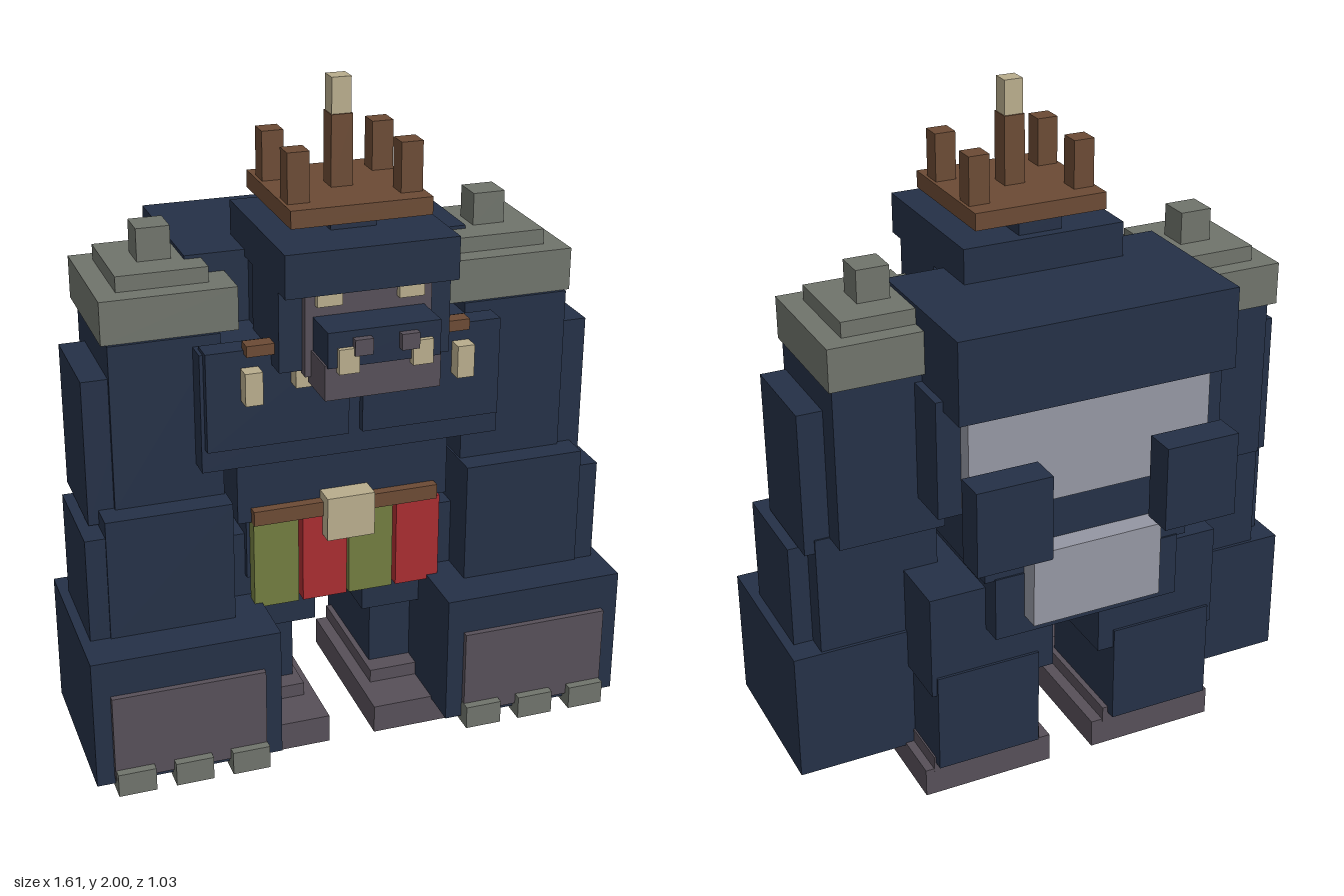
import * as THREE from 'three';

const material = (name, color) => {
  const m = new THREE.MeshStandardMaterial({ color });
  m.name = name;
  return m;
};

export function createModel() {
  const model = new THREE.Group();
  model.name = 'armouredApe';
  const fur = material('navy fur', 0x243046);
  const skin = material('mauve skin', 0x564f58);
  const stone = material('grey stone', 0x6f736b);
  const wood = material('brown wood', 0x6b4a34);
  const bone = material('beige bone', 0xb8ac8c);
  const red = material('red cloth', 0xa82c30);
  const green = material('green cloth', 0x717c40);
  const silver = material('silver back', 0x9496a2);

  // Box given by its limits on each axis
  const box = (name, mat, [x0, x1], [y0, y1], [z0, z1], parent = model) => {
    const mesh = new THREE.Mesh(new THREE.BoxGeometry(x1 - x0, y1 - y0, z1 - z0), mat);
    mesh.position.set((x0 + x1) / 2, (y0 + y1) / 2, (z0 + z1) / 2);
    mesh.name = name;
    parent.add(mesh);
  };
  // The same box on both sides of the body
  const pair = (name, mat, [x0, x1], y, z) => {
    box('left' + name, mat, [x0, x1], y, z);
    box('right' + name, mat, [-x1, -x0], y, z);
  };

  // Torso
  box('chest', fur, [-0.44, 0.44], [0.95, 1.3], [-0.35, 0.245]);
  pair('Pec', fur, [0.02, 0.43], [1.02, 1.31], [0.2, 0.27]);
  box('abdomen', fur, [-0.32, 0.32], [0.735, 0.96], [-0.385, 0.17]);
  box('pelvis', fur, [-0.29, 0.29], [0.545, 0.74], [-0.39, 0.15]);
  box('shoulderHump', fur, [-0.418, 0.418], [1.27, 1.51], [-0.452, 0.03]);
  box('upperBackPatch', silver, [-0.37, 0.37], [0.96, 1.27], [-0.4, -0.345]);
  box('lowerBackPatch', silver, [-0.2, 0.2], [0.6, 0.83], [-0.45, -0.38]);
  pair('BackTuft', fur, [0.175, 0.4], [0.845, 1.1], [-0.515, -0.42]);

  // Head and face
  box('head', fur, [-0.235, 0.235], [1.26, 1.6], [-0.1, 0.34]);
  box('cheekFrame', fur, [-0.245, 0.245], [1.26, 1.5], [0.1, 0.34]);
  box('brow', fur, [-0.245, 0.245], [1.49, 1.612], [-0.11, 0.4]);
  box('headCrest', fur, [-0.065, 0.065], [1.6, 1.66], [-0.08, 0.24]);
  box('face', skin, [-0.18, 0.18], [1.25, 1.49], [0.33, 0.365]);
  box('muzzle', fur, [-0.158, 0.158], [1.32, 1.42], [0.34, 0.49]);
  box('jaw', skin, [-0.163, 0.163], [1.225, 1.325], [0.34, 0.48]);
  pair('Eye', bone, [0.08, 0.152], [1.452, 1.49], [0.36, 0.385]);
  pair('Nostril', skin, [0.04, 0.09], [1.355, 1.4], [0.48, 0.512]);
  pair('Fang', bone, [0.075, 0.132], [1.305, 1.375], [0.47, 0.504]);

  // Tooth necklace
  box('necklaceCord', wood, [-0.323, 0.323], [1.3, 1.332], [0.255, 0.3]);
  for (const [x, y0, y1] of [[-0.308, 1.165, 1.26], [-0.165, 1.2, 1.26], [0, 1.153, 1.25], [0.165, 1.2, 1.26], [0.308, 1.165, 1.26]]) {
    box('necklaceTooth', bone, [x - 0.025, x + 0.025], [y0, y1], [0.272, 0.318]);
  }

  // Crown
  const crown = new THREE.Group();
  crown.name = 'crown';
  model.add(crown);
  box('crownBase', wood, [-0.2, 0.2], [1.65, 1.7], [-0.09, 0.312], crown);
  box('crownCentrePost', wood, [-0.031, 0.031], [1.7, 1.9], [0.08, 0.145], crown);
  box('crownTip', bone, [-0.028, 0.028], [1.9, 2], [0.085, 0.14], crown);
  for (const x of [-0.16, 0.16]) {
    for (const z of [0, 0.225]) {
      box('crownCornerPost', wood, [x - 0.031, x + 0.031], [1.7, 1.84], [z - 0.031, z + 0.031], crown);
    }
  }

  // Stepped shoulder armour
  pair('ShoulderPlate', stone, [0.305, 0.69], [1.33, 1.455], [-0.233, 0.168]);
  pair('ShoulderStep', stone, [0.37, 0.63], [1.455, 1.5], [-0.18, 0.108]);
  pair('ShoulderStud', stone, [0.45, 0.546], [1.5, 1.595], [-0.083, 0.01]);

  // Arms and fists
  pair('UpperArm', fur, [0.36, 0.675], [0.84, 1.33], [-0.21, 0.178]);
  pair('UpperArmFur', fur, [0.6, 0.75], [0.8, 1.232], [-0.13, 0.165]);
  pair('Forearm', fur, [0.355, 0.72], [0.47, 0.843], [-0.135, 0.248]);
  pair('ForearmFur', fur, [0.66, 0.778], [0.47, 0.793], [-0.065, 0.242]);
  pair('Fist', fur, [0.257, 0.806], [0.08, 0.478], [-0.145, 0.37]);
  pair('Knuckles', skin, [0.308, 0.755], [0.1, 0.368], [0.36, 0.388]);
  for (const x of [0.362, 0.53, 0.698]) {
    pair('Claw', stone, [x - 0.055, x + 0.055], [0.062, 0.133], [0.34, 0.413]);
  }

  // Belt and striped loincloth
  box('belt', wood, [-0.28, 0.28], [0.735, 0.78], [0.1, 0.2]);
  box('buckle', bone, [-0.072, 0.072], [0.672, 0.806], [0.17, 0.238]);
  [[-0.28, green], [-0.132, red], [0.01, green], [0.157, red]].forEach(([x, mat]) =>
    box('loinclothStrip', mat, [x, x + 0.135], [0.465, 0.74], [0.15, 0.192]));

  // Legs and feet
  pair('Thigh', fur, [0.075, 0.46], [0.36, 0.68], [-0.322, 0.13]);
  pair('Shin', fur, [0.125, 0.445], [0.11, 0.42], [-0.33, 0.06]);
  pair('Ankle', skin, [0.108, 0.45], [0.08, 0.13], [-0.3, 0.12]);
  pair('Foot', skin, [0.072, 0.476], [0, 0.088], [-0.297, 0.255]);

  return model;
}
